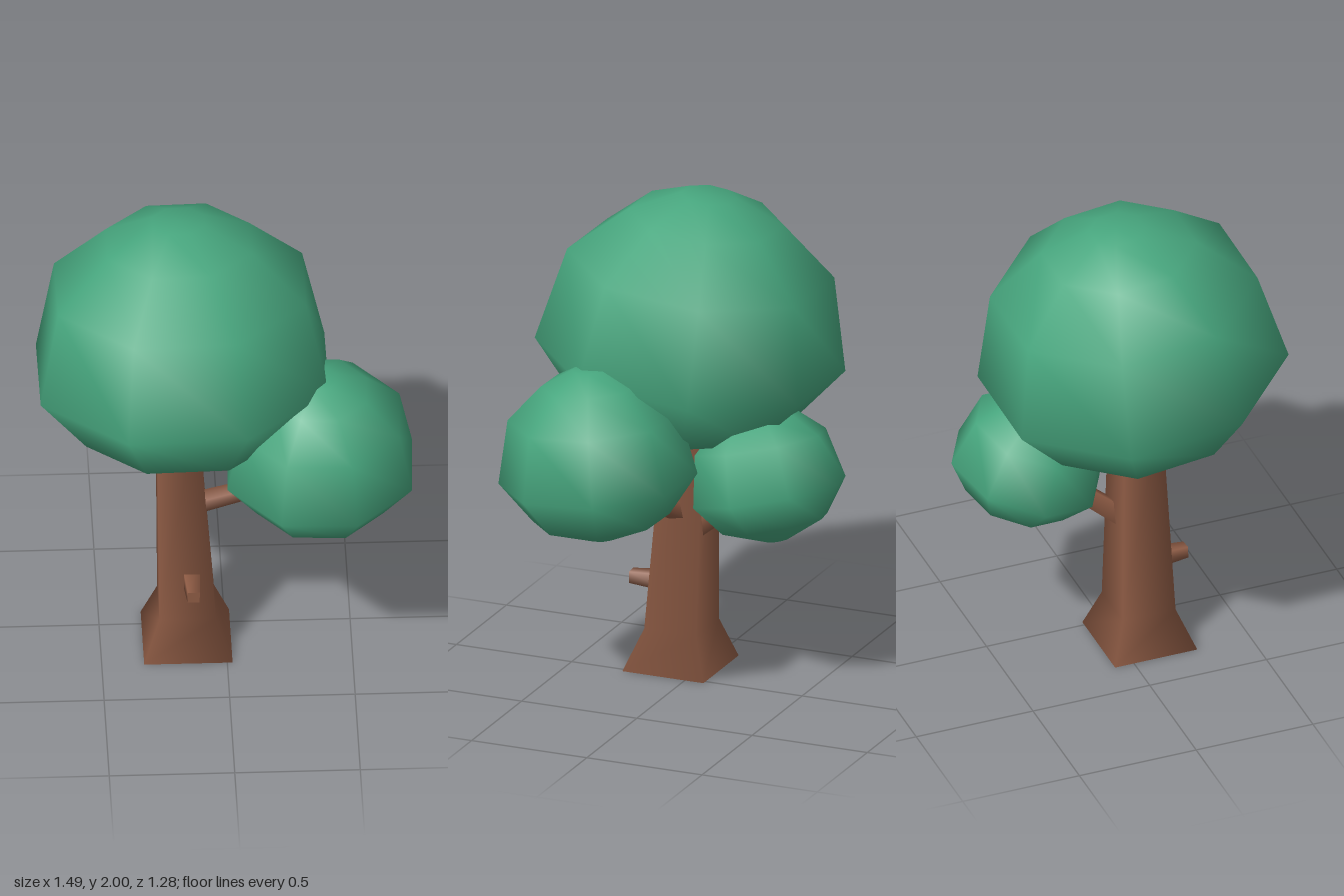
import * as THREE from 'three';

export function createModel() {
  const tree = new THREE.Group();
  tree.name = 'tree';
  const leafGreen = new THREE.MeshStandardMaterial({ name: 'leafGreen', color: 0x47a67e });
  const barkBrown = new THREE.MeshStandardMaterial({ name: 'barkBrown', color: 0x8f5c45 });

  const add = (name, geometry, material) => {
    const mesh = new THREE.Mesh(geometry, material);
    mesh.name = name;
    tree.add(mesh);
    return mesh;
  };

  // Leaf clumps: eight-sided domes, widest below the middle, each leaning its own way
  const profile = [[0, -0.6], [0.13, -0.6], [0.69, -0.39], [1, 0], [0.86, 0.63], [0.5, 0.95], [0.18, 1.1], [0, 1.1]]
    .map(([r, y]) => new THREE.Vector2(r, y));
  const clump = (name, pos, radius, stretch, tilt, turn) => {
    const geometry = new THREE.LatheGeometry(profile, 8, Math.PI / 8 + turn);
    geometry.scale(radius, radius * stretch, radius);
    const mesh = add(name, geometry, leafGreen);
    mesh.position.set(...pos);
    mesh.rotation.set(tilt[0], 0, tilt[1]);
  };
  clump('mainCrown', [-0.17, 1.31, 0.06], 0.622, 1, [-0.11, 0.02], 0);
  clump('leftCrown', [0.37, 0.94, 0.225], 0.398, 1.05, [0.08, 0], -0.04);
  clump('backCrown', [-0.03, 0.83, -0.345], 0.318, 1.03, [0.25, 0.12], 0.3);

  // Trunk: square sections [y, x, z, half width], flared at the foot
  const sections = [[0, -0.155, 0.095, 0.176], [0.17, -0.155, 0.09, 0.113], [1.15, -0.195, 0.06, 0.08]];
  const trunk = new THREE.CylinderGeometry(1, 1, 2, 4, 2, false, Math.PI / 4);
  const p = trunk.attributes.position;
  for (let i = 0; i < p.count; i++) {
    const [y, x, z, half] = sections[Math.round(p.getY(i)) + 1];
    const r = half * Math.SQRT2;
    p.setXYZ(i, x + p.getX(i) * r, y, z + p.getZ(i) * r);
  }
  add('trunk', trunk, barkBrown);

  // Branches: four-sided tapering limbs between two points
  const up = new THREE.Vector3(0, 1, 0);
  const limb = (name, from, to, r0, r1) => {
    const a = new THREE.Vector3(...from);
    const b = new THREE.Vector3(...to);
    const geometry = new THREE.CylinderGeometry(r1, r0, a.distanceTo(b), 4, 1, false, Math.PI / 4);
    const mesh = add(name, geometry, barkBrown);
    mesh.position.copy(a).lerp(b, 0.5);
    mesh.quaternion.setFromUnitVectors(up, b.clone().sub(a).normalize());
  };
  limb('leftBranch', [-0.15, 0.64, 0.07], [0.25, 0.84, 0.18], 0.045, 0.035);
  limb('backBranch', [-0.16, 0.57, 0.05], [-0.06, 0.84, -0.3], 0.055, 0.042);
  limb('stub', [-0.14, 0.35, 0.13], [-0.135, 0.35, 0.3], 0.05, 0.034);

  return tree;
}
